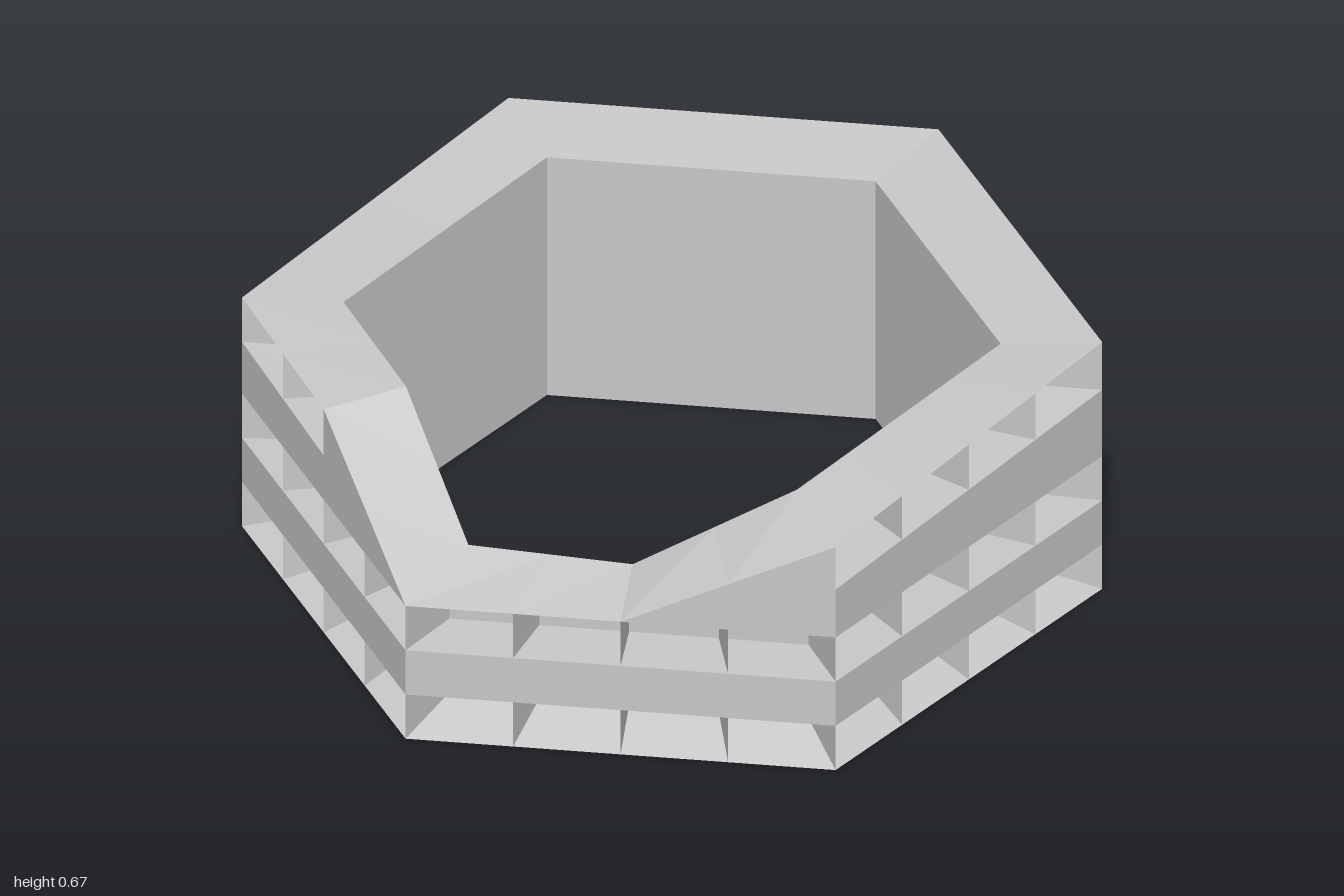
import * as THREE from 'three';

const INNER = 0.764, PANEL = 0.835;
const STATIONS = 24; // six sides, four bays each, counted from the front corner towards +x

// piecewise-linear height along the ring from [station, height] pairs
const along = (pairs) => (s) => {
  for (let i = 1; i < pairs.length; i++) {
    const [s0, y0] = pairs[i - 1], [s1, y1] = pairs[i];
    if (s <= s1) return y0 + (y1 - y0) * (s - s0) / (s1 - s0);
  }
  return pairs[pairs.length - 1][1];
};
const rimOuter = along([[0, 0.36], [2, 0.36], [4, 0.605], [8, 0.67], [16, 0.67], [20, 0.62], [22, 0.605], [24, 0.36]]);
const rimInner = along([[0, 0.41], [2, 0.39], [4, 0.625], [8, 0.645], [16, 0.645], [20, 0.628], [22, 0.62], [24, 0.41]]);
const parapet = along([[0, 0.49], [4, 0.49], [8, 0.54], [16, 0.54], [20, 0.5], [22, 0.48], [24, 0.48]]);
const flat = (y) => () => y;

// point on the hexagon at a station, scaled towards the centre
function point(s, scale, y) {
  const side = Math.floor(s / 4), t = s / 4 - side;
  const corner = (k) => [Math.sin(k * Math.PI / 3), Math.cos(k * Math.PI / 3)];
  const [x0, z0] = corner(side), [x1, z1] = corner(side + 1);
  return [(x0 + (x1 - x0) * t) * scale, y, (z0 + (z1 - z0) * t) * scale];
}

export function createModel() {
  const model = new THREE.Group();
  model.name = 'hexagonalBuilding';
  const concrete = new THREE.MeshStandardMaterial({ color: 0xc8c8c8, side: THREE.DoubleSide });
  concrete.name = 'concrete grey';

  function addQuads(name, quads, parent) {
    const pos = [];
    for (const [a, b, c, d] of quads) pos.push(...a, ...b, ...c, ...a, ...c, ...d);
    const geo = new THREE.BufferGeometry();
    geo.setAttribute('position', new THREE.Float32BufferAttribute(pos, 3));
    geo.computeVertexNormals();
    const mesh = new THREE.Mesh(geo, concrete);
    mesh.name = name;
    parent.add(mesh);
  }

  // ribbon around the ring between two edges, each given as scale and height
  function ribbon(name, scaleA, yA, scaleB, yB, from = 0, to = STATIONS, parent = model) {
    const quads = [];
    for (let s = from; s < to; s++) {
      quads.push([point(s, scaleA, yA(s)), point(s + 1, scaleA, yA(s + 1)),
        point(s + 1, scaleB, yB(s + 1)), point(s, scaleB, yB(s))]);
    }
    addQuads(name, quads, parent);
  }

  // a storey of open bays: floor, ceiling, recessed panels and radial fins
  function storey(name, low, lowIn, high, highIn, from, to) {
    const group = new THREE.Group();
    group.name = name;
    ribbon('bayFloor', 1, low, PANEL, lowIn, from, to, group);
    ribbon('bayCeiling', PANEL, highIn, 1, high, from, to, group);
    ribbon('bayPanels', PANEL, lowIn, PANEL, highIn, from, to, group);
    const fins = [];
    for (let s = from; s <= to; s++) {
      fins.push([point(s, 1, low(s)), point(s, PANEL, lowIn(s)),
        point(s, PANEL, highIn(s)), point(s, 1, high(s))]);
    }
    addQuads('fins', fins, group);
    model.add(group);
  }

  storey('groundStorey', flat(0), flat(0.045), flat(0.12), flat(0.12), 0, STATIONS);
  storey('middleStorey', flat(0.24), flat(0.245), flat(0.36), flat(0.352), 0, STATIONS);
  storey('topStorey', parapet, parapet, rimOuter, (s) => rimOuter(s) - 0.058, 4, 22);

  // outer wall bands
  ribbon('lowerBand', 1, flat(0.12), 1, flat(0.24));
  ribbon('upperBand', 1, flat(0.36), 1, parapet, 4, 22);
  ribbon('frontRightSlopeWall', 1, flat(0.36), 1, rimOuter, 2, 4);
  ribbon('frontLeftSlopeWall', 1, flat(0.36), 1, rimOuter, 22, 24);

  // roof rim with the lowered front, and the courtyard wall
  ribbon('roofRim', 1, rimOuter, INNER, rimInner);
  ribbon('courtyardWall', INNER, rimInner, INNER, flat(0));
  return model;
}
